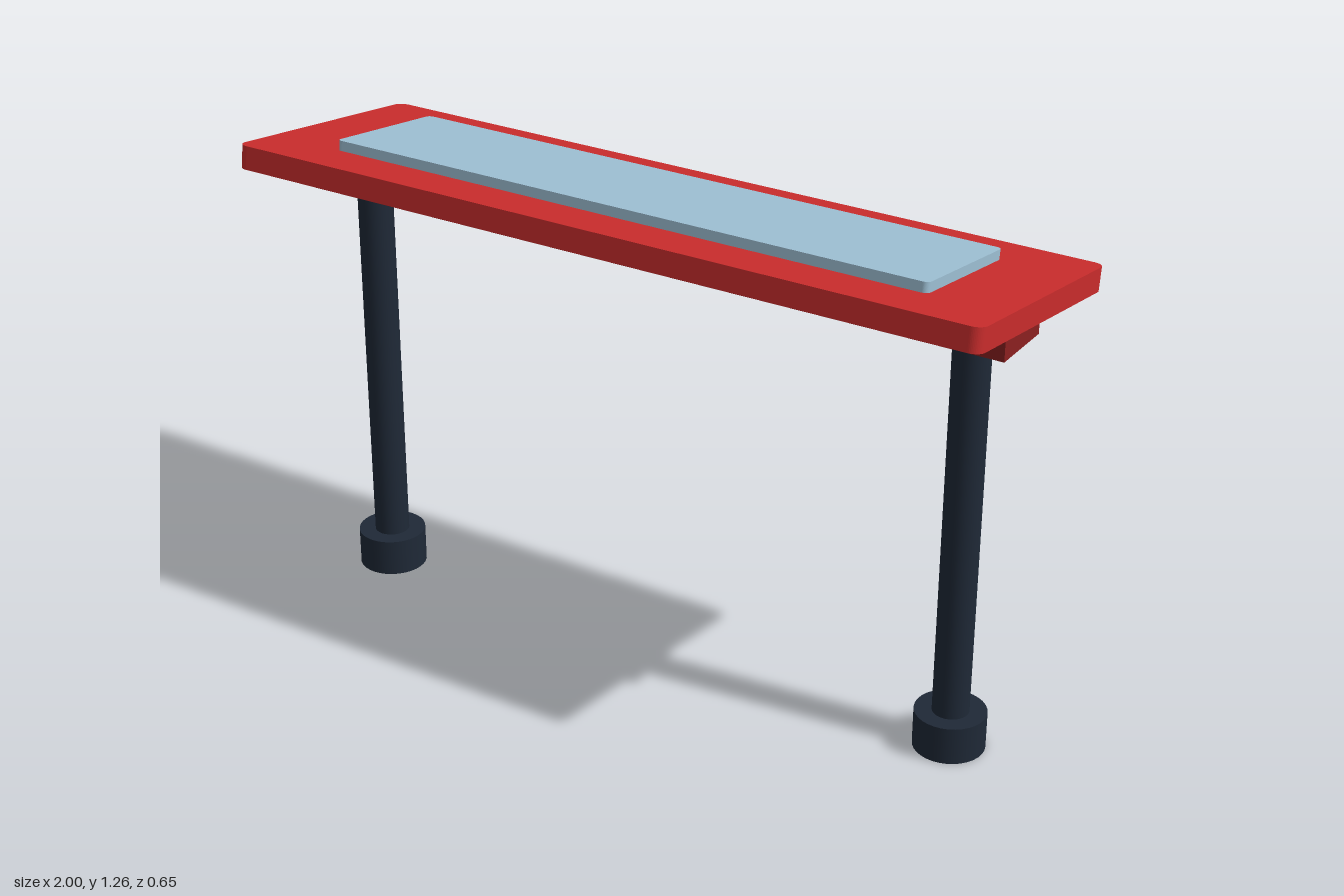
import * as THREE from 'three';

const material = (name, color) => {
  const m = new THREE.MeshStandardMaterial({ color });
  m.name = name;
  return m;
};

// Flat plate lying in xz with rounded plan corners, centred on its own origin
function plateGeometry(width, depth, height, r) {
  const x = width / 2, y = depth / 2;
  const s = new THREE.Shape();
  s.moveTo(-x + r, -y);
  s.lineTo(x - r, -y);
  s.absarc(x - r, -y + r, r, -Math.PI / 2, 0);
  s.absarc(x - r, y - r, r, 0, Math.PI / 2);
  s.absarc(-x + r, y - r, r, Math.PI / 2, Math.PI);
  s.absarc(-x + r, -y + r, r, Math.PI, Math.PI * 1.5);
  const g = new THREE.ExtrudeGeometry(s, { depth: height, bevelEnabled: false, curveSegments: 6 });
  return g.translate(0, 0, -height / 2).rotateX(-Math.PI / 2);
}

export function createModel() {
  const red = material('red board', 0xc92c2c);
  const darkRed = material('dark red beam', 0x8b2020);
  const navy = material('dark navy metal', 0x1f2937);
  const blue = material('pale blue panel', 0x9dbfd3);

  const model = new THREE.Group();
  model.name = 'tiltedTable';
  const add = (parent, name, geometry, mat, x, y, z) => {
    const mesh = new THREE.Mesh(geometry, mat);
    mesh.name = name;
    mesh.position.set(x, y, z);
    parent.add(mesh);
  };

  // Board and raised panel, tilted with the front edge up
  const top = new THREE.Group();
  top.name = 'tiltedTop';
  top.position.set(0, 1.182, 0);
  top.rotation.x = -THREE.MathUtils.degToRad(8);
  add(top, 'board', plateGeometry(2, 0.65, 0.059, 0.028), red, 0, 0, 0);
  add(top, 'panel', plateGeometry(1.608, 0.373, 0.026, 0.014), blue, 0, 0.0415, 0);
  model.add(top);

  // Beam under the board
  add(model, 'beam', new THREE.BoxGeometry(1.906, 0.083, 0.176), darkRed, 0, 1.1185, 0.004);

  // Two posts with round feet
  for (const [side, x] of [['left', 0.835], ['right', -0.835]]) {
    const leg = new THREE.Group();
    leg.name = side + 'Leg';
    leg.position.set(x, 0, 0.004);
    add(leg, side + 'Post', new THREE.CylinderGeometry(0.045, 0.045, 1.02, 32), navy, 0, 0.58, 0);
    add(leg, side + 'Foot', new THREE.CylinderGeometry(0.088, 0.088, 0.097, 32), navy, 0, 0.0485, 0);
    model.add(leg);
  }
  return model;
}
